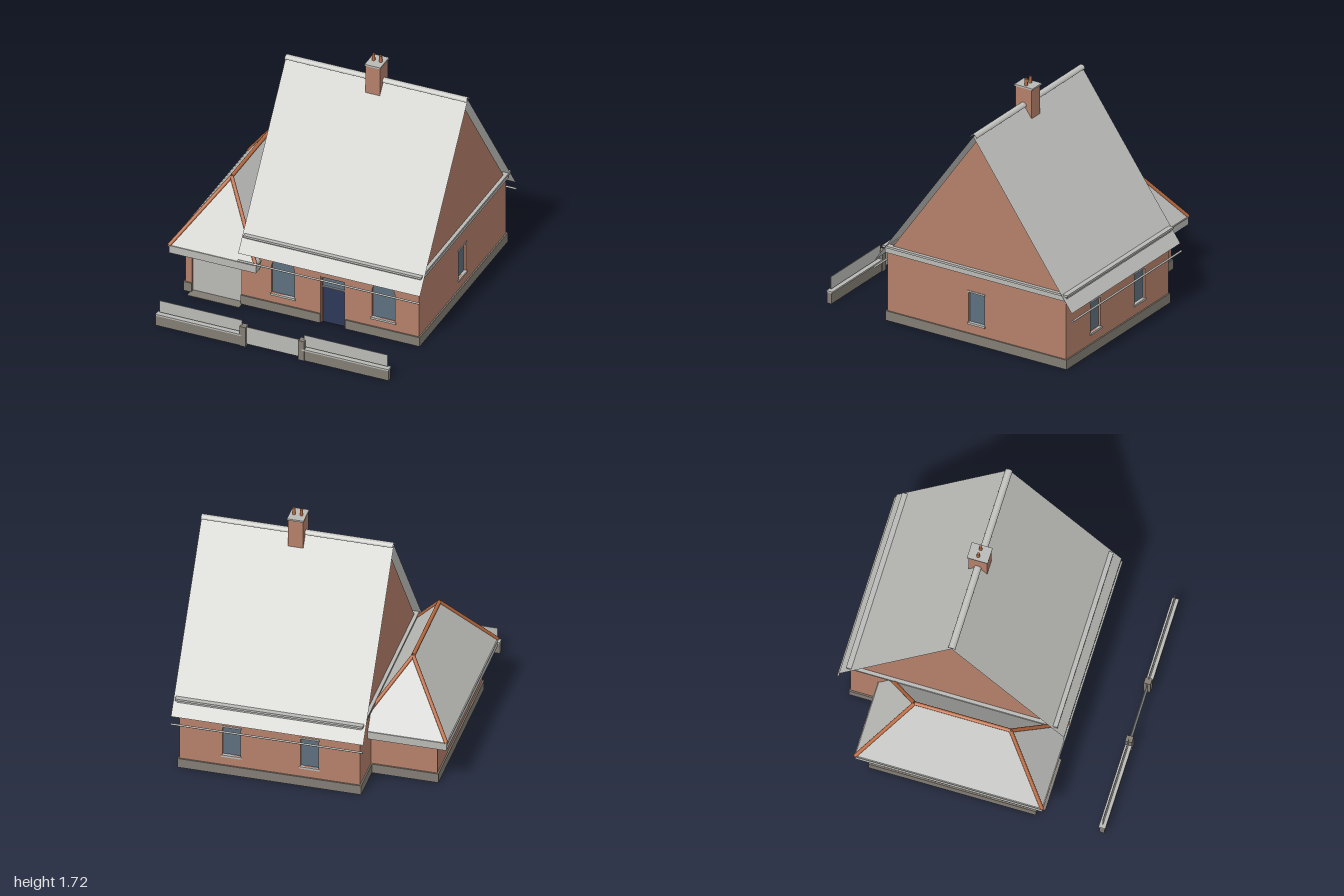
import * as THREE from 'three';

const mat = (name, color, side = THREE.FrontSide) => {
  const m = new THREE.MeshStandardMaterial({ color, side });
  m.name = name;
  return m;
};

export function createModel() {
  const house = new THREE.Group();
  house.name = 'house';
  const brick = mat('brick', 0xb5806a);
  const slate = mat('pale roof', 0xc3c3c0, THREE.DoubleSide);
  const stone = mat('pale trim', 0xb9bab6, THREE.DoubleSide);
  const base = mat('plinth grey', 0x827c73);
  const glass = mat('window glass', 0x5d6f7d);
  const navy = mat('door navy', 0x2c3858);
  const clay = mat('terracotta', 0xb9693f, THREE.DoubleSide);
  const T = 0.04; // wall thickness

  const add = (name, geo, material, parent = house) => {
    const m = new THREE.Mesh(geo, material);
    m.name = name;
    parent.add(m);
    return m;
  };
  // box given by its min and max on each axis
  const box = (name, x0, x1, y0, y1, z0, z1, material, parent) => {
    const m = add(name, new THREE.BoxGeometry(x1 - x0, y1 - y0, z1 - z0), material, parent);
    m.position.set((x0 + x1) / 2, (y0 + y1) / 2, (z0 + z1) / 2);
    return m;
  };
  const rect = (C, x0, x1, y0, y1) => new C([[x0, y0], [x1, y0], [x1, y1], [x0, y1]].map(p => new THREE.Vector2(...p)));

  // wall in local x/y with doorways [a, b, height] and windows {x, w, y0, y1, arch}
  const wall = (name, x0, x1, top, windows = [], doors = []) => {
    const g = new THREE.Group();
    g.name = name;
    house.add(g);
    const pts = [[x0, 0]];
    doors.forEach(([a, b, h]) => pts.push([a, 0], [a, h], [b, h], [b, 0]));
    pts.push([x1, 0], ...top);
    const shape = new THREE.Shape(pts.map(p => new THREE.Vector2(...p)));
    for (const { x, w, y0, y1, arch } of windows) {
      const r = w / 2;
      const outline = C => {
        if (!arch) return rect(C, x - r, x + r, y0, y1);
        const s = new C();
        s.moveTo(x - r, y0);
        s.lineTo(x + r, y0);
        s.absarc(x, y1 - r, r, 0, Math.PI, false);
        s.closePath();
        return s;
      };
      shape.holes.push(outline(THREE.Path));
      const pane = new THREE.ExtrudeGeometry(outline(THREE.Shape), { depth: 0.008, bevelEnabled: false, curveSegments: 12 });
      add('windowPane', pane, glass, g).position.z = T / 2 - 0.004;
      box('windowSill', x - r - 0.008, x + r + 0.008, y0 - 0.015, y0, 0.005, T + 0.008, stone, g);
      if (!arch) box('windowLintel', x - r - 0.006, x + r + 0.006, y1, y1 + 0.012, 0.005, T + 0.004, stone, g);
    }
    add('brickwork', new THREE.ExtrudeGeometry(shape, { depth: T, bevelEnabled: false, curveSegments: 12 }), brick, g);
    return g;
  };
  // horizontal rectangular ring
  const ring = (name, x0, x1, z0, z1, y0, y1, width, material) => {
    const s = rect(THREE.Shape, x0, x1, -z1, -z0);
    s.holes.push(rect(THREE.Path, x0 + width, x1 - width, -z1 + width, -z0 - width));
    const m = add(name, new THREE.ExtrudeGeometry(s, { depth: y1 - y0, bevelEnabled: false }), material);
    m.rotation.x = -Math.PI / 2;
    m.position.y = y0;
  };
  // thin flat roof face from its corners
  const slope = (name, pts) => {
    const g = new THREE.BufferGeometry();
    g.setAttribute('position', new THREE.Float32BufferAttribute(pts.flat(), 3));
    g.setIndex(pts.length === 4 ? [0, 1, 2, 0, 2, 3] : [0, 1, 2]);
    g.computeVertexNormals();
    add(name, g, slate);
  };
  // open tube between two points, for caps and gutters
  const tube = (name, a, b, r, material) => {
    const p = new THREE.Vector3(...a), q = new THREE.Vector3(...b);
    const m = add(name, new THREE.CylinderGeometry(r, r, p.distanceTo(q), 10, 1, true), material);
    m.position.copy(p).add(q).multiplyScalar(0.5);
    m.quaternion.setFromUnitVectors(new THREE.Vector3(0, 1, 0), q.sub(p).normalize());
  };

  // main house walls
  const L = -0.37, R = 0.88, F = 0.51, B = -0.915, ZR = -0.2;
  const flat = (x0, x1, h) => [[x1, h], [x0, h]];
  const tall = x => ({ x, w: 0.125, y0: 0.15, y1: 0.37 });
  const arched = x => ({ x, w: 0.17, y0: 0.14, y1: 0.425, arch: true });
  wall('frontWall', L + T, R - T, flat(L + T, R - T, 0.5), [arched(-0.115), arched(0.62)], [[0.16, 0.345, 0.365]])
    .position.z = F - T;
  const back = wall('backWall', -R + T, -L - T, flat(-R + T, -L - T, 0.5), [tall(-0.52), tall(0.02)]);
  back.rotation.y = Math.PI;
  back.position.z = B + T;
  const gable = [[-B, 0.49], [-ZR, 1.497], [-F, 0.49]];
  const right = wall('rightGable', -F, -B, gable, [tall(-ZR)]);
  right.rotation.y = Math.PI / 2;
  right.position.x = R - T;
  const left = wall('leftGable', B, F, gable.map(([u, y]) => [-u, y]).reverse(), [tall(ZR)]);
  left.rotation.y = -Math.PI / 2;
  left.position.x = L + T;

  // front door with transom light
  box('frontDoor', 0.17, 0.335, 0, 0.28, F - 0.025, F - 0.017, navy);
  box('transomBar', 0.17, 0.335, 0.278, 0.286, F - 0.03, F - 0.008, stone);
  box('transomLight', 0.17, 0.335, 0.286, 0.355, F - 0.025, F - 0.017, glass);
  for (const [a, b] of [[0.16, 0.17], [0.335, 0.345]]) box('doorJamb', a, b, 0, 0.365, F - 0.035, F - 0.004, brick);
  box('doorHead', 0.17, 0.335, 0.355, 0.365, F - 0.035, F - 0.004, brick);

  // annex walls and garage door
  const AL = -0.83, AB = -0.64;
  wall('annexFrontWall', AL + T, L, flat(AL + T, L, 0.4), [], [[-0.78, -0.42, 0.335]]).position.z = F - T;
  const aBack = wall('annexBackWall', -L, -AL - T, flat(-L, -AL - T, 0.4));
  aBack.rotation.y = Math.PI;
  aBack.position.z = AB + T;
  const aSide = wall('annexSideWall', AB, F, flat(AB, F, 0.4), [{ x: -0.04, w: 0.12, y0: 0.245, y1: 0.36 }]);
  aSide.rotation.y = -Math.PI / 2;
  aSide.position.x = AL + T;
  box('garageDoor', -0.78, -0.42, 0, 0.335, F - 0.025, F - 0.017, stone);
  box('garageRamp', -0.79, -0.41, 0, 0.004, F - 0.02, 0.57, base);

  // plinth strips, broken at the doorways
  const H = 0.07, P = 0.01;
  for (const [a, b] of [[L, 0.16], [0.345, R + P], [AL - P, -0.78], [-0.42, L]])
    box('plinthFront', a, b, 0, H, F - T - 0.002, F + P, base);
  box('plinthBack', L - P, R + P, 0, H, B - P, B + T + 0.002, base);
  box('plinthRight', R - T - 0.002, R + P, 0, H, B, F, base);
  box('plinthLeft', L - P, L + T + 0.002, 0, H, B, F, base);
  box('annexPlinthBack', AL - P, L, 0, H, AB - P, AB + T + 0.002, base);
  box('annexPlinthSide', AL - P, AL + T + 0.002, 0, H, AB, F, base);

  // stepped cornice round the main house
  ring('corniceLower', L - 0.012, R + 0.012, B - 0.012, F + 0.012, 0.5, 0.54, 0.03, stone);
  ring('corniceUpper', L - 0.025, R + 0.025, B - 0.025, F + 0.025, 0.54, 0.555, 0.04, stone);

  // main roof, ridge cap and gutters
  const X0 = -0.41, X1 = 0.92, EY = 0.44, RY = 1.545;
  slope('frontRoof', [[X0, EY, 0.585], [X1, EY, 0.585], [X1, RY, ZR], [X0, RY, ZR]]);
  slope('backRoof', [[X1, EY, -0.985], [X0, EY, -0.985], [X0, RY, ZR], [X1, RY, ZR]]);
  const cap = add('ridgeCap', new THREE.CylinderGeometry(0.025, 0.025, X1 - X0, 10, 1, true, 0, Math.PI), slate);
  cap.rotation.z = Math.PI / 2;
  cap.position.set((X0 + X1) / 2, 1.535, ZR);
  for (const z of [0.587, -0.992]) tube('gutter', [X0, 0.385, z], [X1, 0.385, z], 0.007, stone);

  // annex hipped roof with terracotta caps
  const ax0 = -0.915, ax1 = -0.28, az0 = -0.72, az1 = 0.585, ay = 0.375;
  const rf = [-0.5975, 0.82, 0.27], rb = [-0.5975, 0.82, -0.4];
  const fl = [ax0, ay, az1], fr = [ax1, ay, az1], bl = [ax0, ay, az0], br = [ax1, ay, az0];
  slope('annexFrontRoof', [fl, fr, rf]);
  slope('annexBackRoof', [br, bl, rb]);
  slope('annexLeftRoof', [bl, fl, rf, rb]);
  slope('annexRightRoof', [fr, br, rb, rf]);
  for (const [a, b] of [[rf, rb], [fl, rf], [fr, rf], [bl, rb], [br, rb]]) tube('hipCap', a, b, 0.013, clay);
  ring('annexFascia', ax0, ax1, az0, az1, 0.315, 0.37, 0.075, stone);
  ring('annexEaveLip', ax0 - 0.007, ax1 + 0.007, az0 - 0.006, az1 + 0.006, 0.368, 0.376, 0.02, stone);

  // chimney with two pots
  box('chimneyStack', 0.2, 0.305, 0.48, 1.665, -0.265, -0.135, brick);
  box('chimneyCap', 0.195, 0.31, 1.665, 1.677, -0.275, -0.13, stone);
  for (const x of [0.228, 0.28])
    add('chimneyPot', new THREE.CylinderGeometry(0.01, 0.012, 0.048, 12), clay).position.set(x, 1.7, -0.205);

  // garden wall, screens, posts and gate
  for (const [a, b, c, d] of [[-0.83, -0.2, -0.81, -0.205], [0.24, 0.875, 0.25, 0.86]]) {
    box('gardenWall', a, b, 0, 0.078, 0.96, 0.995, base);
    box('gardenWallCoping', a, b, 0.078, 0.09, 0.953, 1, stone);
    box('fenceScreen', c, d, 0.1, 0.19, 0.974, 0.978, stone);
  }
  for (const x of [-0.193, 0.238]) box('gatePost', x - 0.022, x + 0.022, 0, 0.152, 0.952, 1, base);
  box('gate', -0.171, 0.216, 0.012, 0.145, 0.974, 0.978, stone);
  return house;
}
